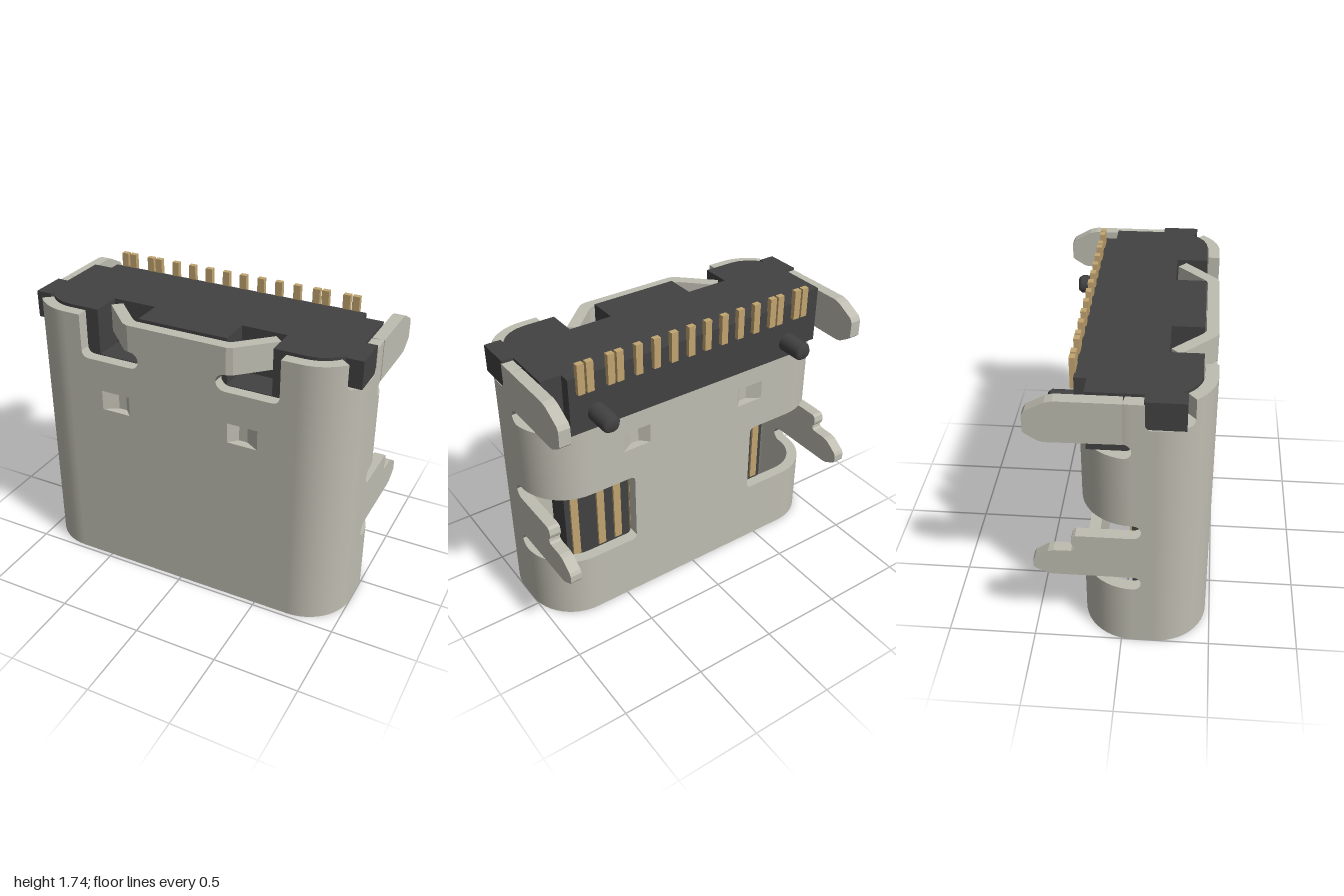
import * as THREE from 'three';

const mat = (name, color, side = THREE.FrontSide) => {
  const m = new THREE.MeshStandardMaterial({ color, side });
  m.name = name;
  return m;
};

// Shell section: rounded rectangle in xz, measured by s from the front centre
const R = 0.29, T = 0.068, H = 1.64, ZF = 0.475, ZB = -0.23;
const A = 1 - R, Q = Math.PI * R / 2, SIDE = ZF - ZB - 2 * R, L = 2 * A + 2 * Q + SIDE;
const sideS = z => A + Q + (ZF - R - z);
const backS = x => L - x;

function section(s) {
  const sg = s < 0 ? -1 : 1;
  let u = Math.abs(s), x, z, nx, nz;
  if (u <= A) [x, z, nx, nz] = [u, ZF, 0, 1];
  else if (u <= A + Q) {
    const f = (u - A) / R;
    [nx, nz] = [Math.sin(f), Math.cos(f)];
    [x, z] = [A + R * nx, ZF - R + R * nz];
  } else if (u <= A + Q + SIDE) [x, z, nx, nz] = [1, ZF - R - (u - A - Q), 1, 0];
  else if (u <= A + 2 * Q + SIDE) {
    const f = (u - A - Q - SIDE) / R;
    [nx, nz] = [Math.cos(f), -Math.sin(f)];
    [x, z] = [A + R * nx, ZB + R + R * nz];
  } else [x, z, nx, nz] = [L - u, ZB, 0, -1];
  return { x: x * sg, z, nx: nx * sg, nz };
}

// Cutouts, mirrored left and right: s range, y range, corner radius at each end
const CUTS = [
  [0.24, 0.30, 1.38, 1.48, 0.05, 0],              // front slot end
  [0.30, 0.61, 1.38, 9, 0, 0.04],                 // front slot and folded tab opening
  [0.31, 0.49, 1.07, 1.19, 0, 0],                 // front spring dent
  [A + R * 0.879, sideS(0.125), 1.49, 9, 0.035, 0.035], // ear notch
  [sideS(0.06), sideS(0.015), 1.31, 1.4, 0.045, 0],     // slot under upper leg
  [sideS(0.015), L, 1.31, 9, 0, 0],               // open upper back
  [sideS(0.11), sideS(0.065), 0.78, 0.87, 0.045, 0],
  [sideS(0.11), sideS(0.065), 0.405, 0.495, 0.045, 0],
  [sideS(0.065), backS(0.42), 0.405, 0.87, 0, 0.03],    // back window
  [backS(0.49), backS(0.31), 1.07, 1.19, 0, 0],   // back spring dent
];

function cutRange([s0, s1, y0, y1, r0, r1], s) {
  const inset = (d, r) => d < r ? r - Math.sqrt(Math.max(0, r * r - (r - d) ** 2)) : 0;
  const i = Math.max(inset(Math.max(0, s - s0), r0), inset(Math.max(0, s1 - s), r1));
  return [Math.min(H, y0 + i), Math.min(H, y1 - i)];
}

// The shell is made of narrow vertical strips broken by the cutouts
function shellGeometry() {
  const stops = [0, A, L];
  for (let i = 0; i <= 12; i++) stops.push(A + Q * i / 12, A + Q + SIDE + Q * i / 12);
  for (const [s0, s1, , , r0, r1] of CUTS) {
    for (let i = 0; i <= 5; i++) {
      const k = 1 - Math.cos(i * Math.PI / 10);
      stops.push(s0 + r0 * k, s1 - r1 * k);
    }
  }
  const half = stops.sort((a, b) => a - b).filter((v, i, a) => i === 0 || v - a[i - 1] > 1e-5);
  const all = [...half.slice(1).reverse().map(v => -v), ...half];
  const pos = [], nor = [];
  const quad = (p, n) => [0, 1, 2, 0, 2, 3].forEach(i => { pos.push(...p[i]); nor.push(...n[i]); });
  for (let i = 0; i + 1 < all.length; i++) {
    const a = all[i], b = all[i + 1], mid = Math.abs(a + b) / 2;
    const P = section(a), N = section(b);
    const cuts = CUTS.filter(c => mid > c[0] && mid < c[1]).sort((c, d) => c[2] - d[2]);
    const ya = [0], yb = [0];
    for (const c of cuts) { ya.push(...cutRange(c, Math.abs(a))); yb.push(...cutRange(c, Math.abs(b))); }
    ya.push(H); yb.push(H);
    const out = (p, y) => [p.x, y, p.z], inn = (p, y) => [p.x - p.nx * T, y, p.z - p.nz * T];
    const np = [P.nx, 0, P.nz], nn = [N.nx, 0, N.nz], ip = np.map(v => -v), iN = nn.map(v => -v);
    const dir = [N.x - P.x, 0, N.z - P.z], len = Math.hypot(...dir);
    const fw = dir.map(v => v / len), bw = fw.map(v => -v), up = [0, 1, 0], dn = [0, -1, 0];
    const four = n => [n, n, n, n];
    for (let k = 0; k < ya.length; k += 2) {
      const [a0, a1, b0, b1] = [ya[k], ya[k + 1], yb[k], yb[k + 1]];
      if (a1 - a0 < 1e-4 && b1 - b0 < 1e-4) continue;
      quad([out(P, a0), out(N, b0), out(N, b1), out(P, a1)], [np, nn, nn, np]);
      quad([inn(N, b0), inn(P, a0), inn(P, a1), inn(N, b1)], [iN, ip, ip, iN]);
      quad([out(P, a1), out(N, b1), inn(N, b1), inn(P, a1)], four(up));
      quad([inn(P, a0), inn(N, b0), out(N, b0), out(P, a0)], four(dn));
      quad([inn(P, a0), out(P, a0), out(P, a1), inn(P, a1)], four(bw));
      quad([out(N, b0), inn(N, b0), inn(N, b1), out(N, b1)], four(fw));
    }
  }
  const g = new THREE.BufferGeometry();
  g.setAttribute('position', new THREE.Float32BufferAttribute(pos, 3));
  g.setAttribute('normal', new THREE.Float32BufferAttribute(nor, 3));
  return g;
}

const poly = pts => new THREE.Shape(pts.map(p => new THREE.Vector2(...p)));
// Plan outline (x, z) raised from y0 to y1
const raise = (shape, y0, y1) => new THREE.ExtrudeGeometry(shape, { depth: y1 - y0, bevelEnabled: false, curveSegments: 10 })
  .rotateX(Math.PI / 2).translate(0, y1, 0);
// Side outline (z, y) with thickness T, outer face at x = 1 or x = -1
const sidePlate = (shape, sg) => new THREE.ExtrudeGeometry(shape, { depth: T, bevelEnabled: false, curveSegments: 6 })
  .rotateY(-Math.PI / 2).translate(sg > 0 ? 1 : -1 + T, 0, 0);
const mirrored = pts => [...pts, ...pts.map(([x, z]) => [-x, z]).reverse()];

export function createModel() {
  const steel = mat('shell steel', 0xbfbdb1);
  const plastic = mat('dark plastic', 0x424242);
  const brass = mat('contact brass', 0xc2a470);
  const model = new THREE.Group();
  model.name = 'connector';
  const add = (name, geo, m) => {
    const mesh = new THREE.Mesh(geo, m);
    mesh.name = name;
    model.add(mesh);
    return mesh;
  };
  const box = (name, x0, x1, y0, y1, z0, z1, m) =>
    add(name, new THREE.BoxGeometry(x1 - x0, y1 - y0, z1 - z0).translate((x0 + x1) / 2, (y0 + y1) / 2, (z0 + z1) / 2), m);

  add('shell', shellGeometry(), steel);

  // Plastic body: plan outline of the +x half, with and without the tab pockets
  const arc = [0, 1, 2, 3, 4, 5, 6].map(i => {
    const f = i * Math.PI / 12;
    return [0.72 + 0.21 * Math.sin(f), 0.19 + 0.21 * Math.cos(f)];
  });
  const rear = [[0.93, -0.175], [0.81, -0.175], [0.81, -0.24]];
  const pocket = [[0.27, 0.40], [0.27, 0.22], [0.535, 0.22], [0.535, 0.40]];
  add('bodyTop', raise(poly(mirrored([...pocket, ...arc, ...rear])), 1.38, 1.655), plastic);
  add('bodyMiddle', raise(poly(mirrored([...arc, ...rear])), 1.31, 1.38), plastic);
  const lowerRear = arc.map(([x, z]) => [x, 0.245 - z]).reverse();
  add('bodyLower', raise(poly(mirrored([...arc, ...lowerRear])), 1.0, 1.31), plastic);

  // Tongue with a thicker root and a chamfered tip
  box('tongueRoot', -0.77, 0.77, 0.7, 1.0, -0.01, 0.255, plastic);
  const tongue = poly([[0.044, 0.7], [0.044, 0.17], [0.075, 0.12], [0.17, 0.12], [0.2, 0.17], [0.2, 0.7]]);
  add('tongue', new THREE.ExtrudeGeometry(tongue, { depth: 1.5, bevelEnabled: false })
    .rotateY(-Math.PI / 2).translate(0.75, 0, 0), plastic);

  // Side legs
  const upperLeg = poly([[0.016, 1.4], [0.016, 1.64], [-0.32, 1.64], [-0.36, 1.63], [-0.46, 1.575], [-0.475, 1.55],
    [-0.475, 1.455], [-0.46, 1.44], [-0.4, 1.402], [-0.37, 1.395]]);
  const lowerLeg = poly([[0.066, 0.495], [0.066, 0.78], [-0.24, 0.78], [-0.257, 0.77], [-0.265, 0.735], [-0.26, 0.715],
    [-0.247, 0.7], [-0.25, 0.68], [-0.265, 0.672], [-0.36, 0.67], [-0.39, 0.662], [-0.465, 0.61], [-0.475, 0.59],
    [-0.475, 0.55], [-0.465, 0.535], [-0.4, 0.5], [-0.37, 0.495]]);

  for (const sg of [1, -1]) {
    const side = sg > 0 ? 'left' : 'right';
    const flip = pts => poly(pts.map(([x, z]) => [x * sg, z]));
    add(side + 'UpperLeg', sidePlate(upperLeg, sg), steel);
    add(side + 'LowerLeg', sidePlate(lowerLeg, sg), steel);
    add(side + 'Ear', raise(flip([[0.9, 0.12], [0.997, 0.12], [0.997, 0.33], [0.9, 0.33]]), 1.495, 1.655), plastic);
    // Tab folded inwards into the body pocket
    add(side + 'FoldedTab', raise(flip([[0.28, 0.407], [0.3, 0.475], [0.335, 0.46], [0.525, 0.275], [0.475, 0.228], [0.31, 0.39]]),
      1.48, 1.64), steel);
    // Pressed spring dents
    for (const [name, z, d] of [['FrontDent', ZF, -1], ['BackDent', ZB, 1]]) {
      const profile = [[0.31, 0], [0.36, 0.05], [0.41, 0.05], [0.49, 0], [0.49, T], [0.42, 0.11], [0.35, 0.11], [0.31, T]];
      add(side + name, raise(flip(profile.map(([x, k]) => [x, z + d * k])), 1.07, 1.19), steel);
    }
    // Locating post with a chamfered tip
    const post = [[0.055, 0], [0.055, 0.155], [0.04, 0.175], [0, 0.175]].map(p => new THREE.Vector2(...p));
    const postGeo = new THREE.LatheGeometry(post, 24).toNonIndexed();
    postGeo.rotateX(-Math.PI / 2).translate(0.65 * sg, 1.41, -0.225);
    add(side + 'Post', postGeo, plastic);
  }

  // Solder pins and the contacts on both faces of the tongue
  for (const px of [0.055, 0.168, 0.28, 0.393, 0.51, 0.565, 0.69, 0.745]) {
    for (const x of [px, -px]) {
      box('solderPin', x - 0.021, x + 0.021, 1.56, 1.74, -0.266, -0.235, brass);
      if (px === 0.565 || px === 0.745) continue;
      box('backContact', x - 0.025, x + 0.025, 0.22, 0.7, 0.03, 0.046, brass);
      box('frontContact', x - 0.025, x + 0.025, 0.22, 0.7, 0.198, 0.214, brass);
    }
  }
  return model;
}
